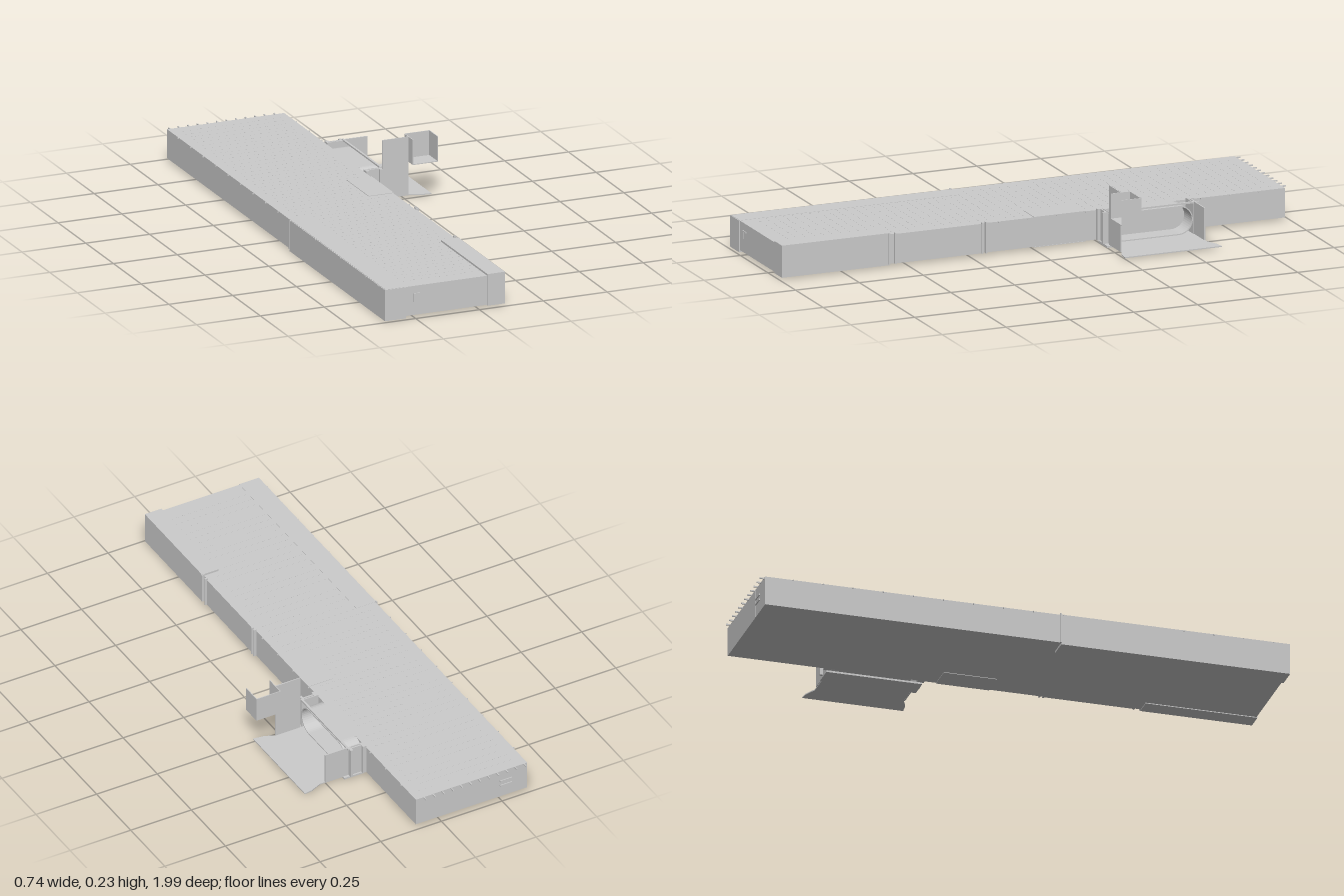
import * as THREE from 'three';
import { mergeGeometries } from 'three/addons/utils/BufferGeometryUtils.js';

const grey = new THREE.MeshStandardMaterial({ color: 0xcccccc, flatShading: true, side: THREE.DoubleSide });

// Box geometry given by its limits on each axis
function span(x0, x1, y0, y1, z0, z1) {
  return new THREE.BoxGeometry(x1 - x0, y1 - y0, z1 - z0)
    .translate((x0 + x1) / 2, (y0 + y1) / 2, (z0 + z1) / 2);
}

export function createModel() {
  const model = new THREE.Group();
  const add = (name, ...geos) => {
    const mesh = new THREE.Mesh(geos.length > 1 ? mergeGeometries(geos) : geos[0], grey);
    mesh.name = name;
    model.add(mesh);
  };

  // Main slab
  const L = -0.363, R = 0.096, B = 0.01, T = 0.12, F = 0.987, K = -0.983;
  add('mainHall', span(L, R, B, T, K, F));

  // Rows of small dashes over the roof
  const dashes = [];
  for (let i = 0; i < 55; i++) {
    for (let j = 0; j < 16; j++) {
      const x = -0.325 + j * 0.025, z = -0.94 + i * 0.0345;
      dashes.push(span(x, x + 0.012, T - 0.001, T + 0.0006, z, z + 0.002));
    }
  }
  add('roofDashes', ...dashes);

  // Pegs along the back edge and small ticks along both long sides
  const pegs = [];
  for (let i = 0; i < 12; i++) {
    const x = -0.35 + i * 0.0375;
    pegs.push(span(x - 0.002, x + 0.002, T - 0.005, T, -1, K));
  }
  add('backPegs', ...pegs);
  const ticks = [];
  for (let i = 0; i < 17; i++) {
    const z = -0.88 + i * 0.113;
    ticks.push(span(L - 0.005, L, T - 0.004, T, z, z + 0.003));
    ticks.push(span(R, R + 0.005, T - 0.004, T, z, z + 0.003));
  }
  add('sideTicks', ...ticks);

  // Thin strips wrapped over the long edges
  add('leftEdgeStrip',
    span(L - 0.003, -0.284, 0.002, B, 0.13, F + 0.003),
    span(L - 0.003, L, 0.002, T, 0.13, F + 0.003),
    span(L, -0.284, T, T + 0.001, 0.13, F),
    span(L, -0.284, B, T, F, F + 0.003));
  add('rightEdgeStrip',
    span(0.036, 0.104, T, 0.127, 0.57, F),
    span(0.036, 0.104, 0.007, B, 0.57, F),
    span(R, 0.104, B, T, 0.57, F),
    span(0.036, 0.104, 0.007, 0.127, F, F + 0.003));
  add('middleEdgePatch',
    span(0.0, R + 0.002, T, T + 0.002, -0.2, 0.0),
    span(0.0, R + 0.002, B - 0.002, B, -0.2, 0.0));

  // Upright ribs framing the long side panel
  for (const z of [0.57, 0.545, 0.205, 0.19]) add('sideRib', span(R, 0.107, B, 0.126, z - 0.003, z + 0.003));
  add('sidePanel', span(R, 0.1, B, T, 0.205, 0.545));
  add('leftRib', span(L - 0.005, L, B, T + 0.004, 0.125, 0.132));

  // Small fittings on both end walls
  add('endFittings',
    span(-0.247, -0.244, B, T, K - 0.002, K),
    span(-0.3, -0.25, 0.075, 0.08, K - 0.004, K),
    span(-0.3, -0.25, 0.055, 0.06, K - 0.004, K),
    span(-0.255, -0.225, 0.088, 0.092, F, F + 0.003),
    span(-0.255, -0.251, 0.06, 0.092, F, F + 0.003));

  // Short tunnel with a rounded outline between hall and annex
  const stadium = (Ctor, inset) => {
    const p = new Ctor(), r = 0.054 - inset;
    p.absarc(0.538, 0.066, r, -Math.PI / 2, Math.PI / 2, false);
    p.absarc(0.322, 0.066, r, Math.PI / 2, Math.PI * 1.5, false);
    p.closePath();
    return p;
  };
  const ring = stadium(THREE.Shape, 0);
  ring.holes.push(stadium(THREE.Path, 0.004));
  add('tunnel', new THREE.ExtrudeGeometry(ring, { depth: 0.07, bevelEnabled: false, curveSegments: 10 })
    .rotateY(Math.PI / 2).translate(R, 0, 0));

  // Stepped posts, lintel and threshold around the tunnel
  for (const [z, s] of [[-0.268, 1], [-0.594, -1]]) {
    const slab = (x0, x1, a, b) =>
      span(x0, x1, B, 0.127, Math.min(z + s * a, z + s * b), Math.max(z + s * a, z + s * b));
    add('annexPost', slab(R, 0.11, 0, 0.026), slab(0.11, 0.155, 0.008, 0.014),
      slab(0.15, 0.16, 0, 0.026), slab(R, 0.165, 0, 0.004));
  }
  add('lintel', span(0.158, 0.166, 0.124, 0.13, -0.61, -0.262));
  add('threshold', span(0.102, 0.181, 0, 0.007, -0.61, -0.25));

  // Flared floor plate
  const floor = new THREE.Shape([[0.165, 0.268], [0.27, 0.268], [0.31, 0.25], [0.352, 0.245],
    [0.352, 0.625], [0.32, 0.62], [0.275, 0.6], [0.165, 0.6]].map(([x, y]) => new THREE.Vector2(x, y)));
  add('floorPlate', new THREE.ExtrudeGeometry(floor, { depth: 0.004, bevelEnabled: false })
    .rotateX(-Math.PI / 2).translate(0, 0.006, 0));

  // Annex walls: tall front wall and lower back wall
  add('frontWall', span(0.168, 0.271, 0.007, 0.229, -0.267, -0.263));
  add('backWall', span(0.16, 0.255, B, 0.13, -0.602, -0.597));

  // Raised box, open at the top and front
  add('raisedBox',
    span(0.271, 0.37, 0.134, 0.229, -0.302, -0.299),
    span(0.367, 0.37, 0.134, 0.229, -0.299, -0.225),
    span(0.27, 0.273, 0.134, 0.229, -0.299, -0.225),
    span(0.271, 0.37, 0.133, 0.136, -0.302, -0.225));

  return model;
}
